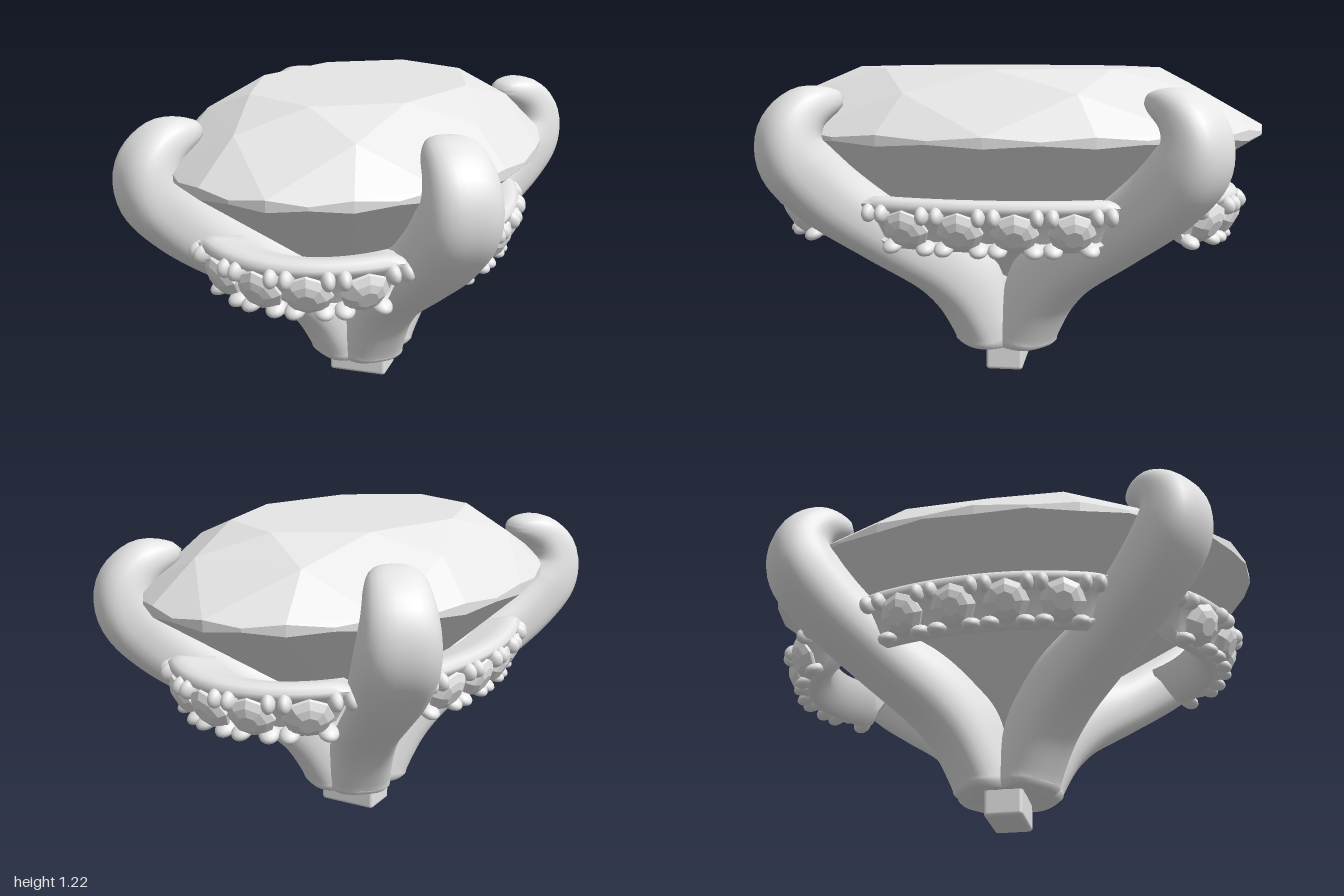
import * as THREE from 'three';
import { toCreasedNormals } from 'three/addons/utils/BufferGeometryUtils.js';
import { ConvexGeometry } from 'three/addons/geometries/ConvexGeometry.js';
import { RoundedBoxGeometry } from 'three/addons/geometries/RoundedBoxGeometry.js';

const V = (x, y, z) => new THREE.Vector3(x, y, z);
const { lerp, smoothstep } = THREE.MathUtils;

// Skin a list of closed cross-sections, cap both ends and make the faces point outward.
function loft(rings, crease) {
  const n = rings[0].length, last = rings.length - 1;
  const tris = [];
  for (let i = 0; i < last; i++) for (let j = 0; j < n; j++) {
    const k = (j + 1) % n;
    const a = rings[i][j], b = rings[i][k], c = rings[i + 1][k], d = rings[i + 1][j];
    tris.push([a, b, c], [a, c, d]);
  }
  const centre = ring => ring.reduce((s, p) => s.add(p), V(0, 0, 0)).divideScalar(n);
  const c0 = centre(rings[0]), c1 = centre(rings[last]);
  for (let j = 0; j < n; j++) {
    const k = (j + 1) % n;
    tris.push([c0, rings[0][k], rings[0][j]], [c1, rings[last][j], rings[last][k]]);
  }
  let volume = 0;
  for (const [a, b, c] of tris) volume += a.dot(V(0, 0, 0).crossVectors(b, c));
  if (volume < 0) tris.forEach(t => t.reverse());
  const g = new THREE.BufferGeometry().setFromPoints(tris.flat());
  return toCreasedNormals(g, crease);
}

// Oval brilliant-cut stone
function centreStone() {
  const pts = [];
  const at = (r, deg, y) => {
    const t = THREE.MathUtils.degToRad(deg);
    pts.push(V(0.69 * r * Math.sin(t), y, r * Math.cos(t)));
  };
  for (let k = 0; k < 8; k++) {
    at(0.6, 45 * k, 1.22);
    at(0.81, 45 * k + 22.5, 1.139);
    at(0.25, 45 * k + 22.5, 0.5);
  }
  for (let k = 0; k < 32; k++) {
    at(1, 11.25 * k, k % 2 ? 0.985 : 1.0);
    at(1, 11.25 * k, k % 2 ? 0.972 : 0.96);
  }
  at(0, 0, 0.36);
  return new ConvexGeometry(pts);
}

// Curved claw rising from the base in a vertical plane towards one corner,
// with a broad, flattened outer face and a rounded inner one
function prongGeometry(sx, sz) {
  const path = new THREE.CatmullRomCurve3([
    [0.09, 0.1], [0.095, 0.15], [0.13, 0.225], [0.2, 0.335], [0.31, 0.445], [0.55, 0.605],
    [0.79, 0.785], [0.89, 0.905], [0.9, 0.995], [0.845, 1.073], [0.7, 1.12]
  ].map(([r, y]) => V(r, y, 0)));
  const dx = 0.61 * sx, dz = 0.79 * sz;
  const rings = [];
  const steps = 72, sides = 32;
  for (let i = 0; i <= steps; i++) {
    const u = i / steps;
    const c = path.getPointAt(u), t = path.getTangentAt(u);
    const taper = smoothstep(u, 0.74, 1);
    const e = Math.max(0, (u - 0.9) / 0.1);
    const round = i === 0 ? 0.88 : Math.sqrt(Math.max(0.0004, 1 - e * e));
    const swell = smoothstep(u, 0.4, 0.75);
    const rn = lerp(lerp(0.122, 0.136, swell), 0.064, taper) * round;
    const rb = lerp(lerp(0.128, 0.142, swell), 0.092, taper) * round;
    const inner = 1 + 0.46 * smoothstep(u, 0.05, 0.2) * (1 - smoothstep(u, 0.3, 0.5));
    const ring = [];
    for (let j = 0; j < sides; j++) {
      const a = j / sides * Math.PI * 2, ca = Math.cos(a), sa = Math.sin(a);
      const outer = Math.max(0, ca);
      const power = lerp(2, 2.8, Math.min(1, outer * 2));
      const k = Math.pow(Math.pow(Math.abs(ca), power) + Math.pow(Math.abs(sa), power), -1 / power);
      const n = rn * ca * k * (ca < 0 ? inner : 1), s = rb * sa * k;
      const r = c.x + t.y * n, y = c.y - t.x * n;
      ring.push(V(dx * r - dz * s, Math.max(0.1, y), dz * r + dx * s));
    }
    rings.push(ring);
  }
  return loft(rings, 0.9);
}

// Frame on the halo oval: position, outward direction and tangent
function haloFrame(t) {
  const p = V(0.6 * Math.sin(t), 0, 0.9 * Math.cos(t));
  const out = V(Math.sin(t) / 0.6, 0, Math.cos(t) / 0.9).normalize();
  return { p, out, tangent: V(out.z, 0, -out.x) };
}

// Halo rail section: outward offset and height
const RAIL = [
  [-0.15, 0.62], [-0.16, 0.735], [-0.07, 0.76], [-0.03, 0.768], [0.0, 0.762], [0.016, 0.745],
  [0.012, 0.725], [-0.02, 0.705], [-0.065, 0.605], [-0.055, 0.59], [-0.065, 0.572], [-0.09, 0.568]
];

// Curved rail whose underside rises towards both ends
function railGeometry(mid, half) {
  const rings = [];
  for (let i = 0; i <= 28; i++) {
    const f = i / 14 - 1;
    const { p, out } = haloFrame(mid + half * f);
    const rise = 0.8 * smoothstep(Math.abs(f), 0.82, 1);
    rings.push(RAIL.map(([o, y]) => p.clone().addScaledVector(out, o).setY(lerp(y, 0.735, rise))));
  }
  return loft(rings, 1);
}

export function createModel() {
  const model = new THREE.Group();
  model.name = 'gemSetting';
  const grey = new THREE.MeshStandardMaterial({ color: 0xe6e6e6 });
  grey.name = 'paleGrey';
  const add = (name, geometry, parent = model) => {
    const m = new THREE.Mesh(geometry, grey);
    m.name = name;
    parent.add(m);
    return m;
  };

  add('centreStone', centreStone());

  // Four claws
  for (const sx of [1, -1]) for (const sz of [1, -1])
    add((sz > 0 ? 'front' : 'back') + (sx > 0 ? 'Left' : 'Right') + 'Prong', prongGeometry(sx, sz));

  // Mounting peg
  add('mountingPeg', new RoundedBoxGeometry(0.24, 0.125, 0.15, 3, 0.014)).position.y = 0.0625;

  // Small faceted stone facing +y
  const gem = new THREE.LatheGeometry([[0, -0.05], [0.086, -0.006], [0.086, 0.004], [0.064, 0.024], [0.036, 0.036], [0, 0.036]]
    .map(([x, y]) => new THREE.Vector2(x, y)), 8).toNonIndexed();
  gem.computeVertexNormals();
  const bead = new THREE.SphereGeometry(1, 14, 10);

  // Halo of small stones between the claws
  const wide = { half: 0.73, gems: [0.15, 0.467], joints: [0, 0.305, 0.63] };
  const long = { half: 0.59, gems: [0.111, 0.345], joints: [0, 0.228, 0.47] };
  const arcs = [['frontHalo', wide], ['leftHalo', long], ['backHalo', wide], ['rightHalo', long]];
  arcs.forEach(([name, { half, gems, joints }], quarter) => {
    const halo = new THREE.Group();
    halo.name = name;
    model.add(halo);
    const c = quarter * Math.PI / 2;
    add('haloRail', railGeometry(c, half), halo);

    // Place a part by its angle, outward offset, height, slide along the rail and downward tilt
    const place = (m, t, offset, y, slide, tilt) => {
      const { p, out, tangent } = haloFrame(t);
      m.position.copy(p).addScaledVector(out, offset).addScaledVector(tangent, slide).setY(y);
      const up = out.clone().multiplyScalar(Math.cos(tilt)).add(V(0, -Math.sin(tilt), 0));
      const side = V(0, 0, 0).crossVectors(tangent, up);
      m.quaternion.setFromRotationMatrix(new THREE.Matrix4().makeBasis(tangent, up, side));
    };
    for (const g of gems) for (const s of [1, -1])
      place(add('haloStone', gem, halo), c + s * g, -0.022, 0.65, 0, 0.5);

    // Pairs of gripping beads above and below each joint, single below at the ends
    for (const t of new Set(joints.flatMap(j => [j, -j]))) for (const s of [1, -1]) {
      const upper = add('upperBead', bead, halo);
      upper.scale.set(0.025, 0.04, 0.034);
      place(upper, c + t, 0.008, 0.712, s * 0.027, 0.5);
      if (Math.abs(t) === joints[2] && s * t > 0) continue;
      const lower = add('lowerBead', bead, halo);
      lower.scale.set(0.036, 0.042, 0.024);
      place(lower, c + t, -0.048, 0.584, s * 0.034, 0.4);
    }
  });
  return model;
}
